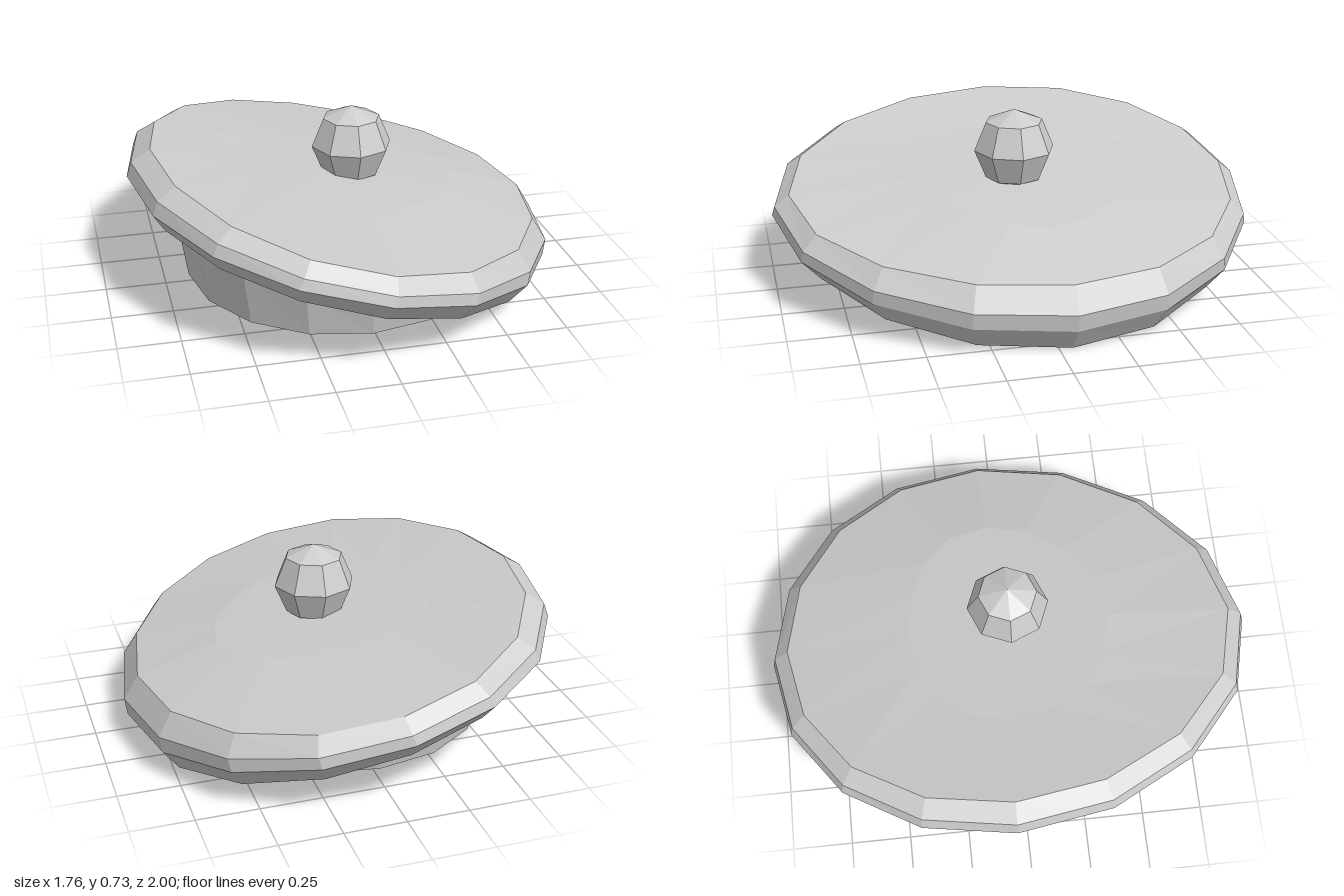
import * as THREE from 'three';

const SIDES = 16;
const material = new THREE.MeshStandardMaterial({ color: 0xcccccc, flatShading: true });

// A tilted oval ring: x and y run from the right end (x0, y0) to the left end (x1, y1),
// rz is the half depth, lift raises the front and back.
function ring(x0, y0, x1, y1, rz, lift = 0, skew = 1) {
  const points = [];
  for (let i = 0; i < SIDES; i++) {
    const a = (i / SIDES) * Math.PI * 2;
    const c = Math.cos(a), s = Math.sin(a);
    const t = (c + 1) / 2;
    points.push(new THREE.Vector3(
      x0 + (x1 - x0) * t - 0.025 * skew * s * s,
      y0 + (y1 - y0) * t + lift * s * s,
      rz * s - 0.055 * skew * c * c
    ));
  }
  return points;
}

// A ring collapsed to one point, to close a surface.
function tip(x, y, z) {
  return Array.from({ length: SIDES }, () => new THREE.Vector3(x, y, z));
}

// Skin a list of rings, in order from the top over the outside to the bottom.
function loft(rings) {
  const positions = [];
  const add = (p, q, r) => {
    if (p.equals(q) || q.equals(r) || r.equals(p)) return;
    for (const v of [p, q, r]) positions.push(v.x, v.y, v.z);
  };
  for (let k = 0; k < rings.length - 1; k++) {
    const a = rings[k], b = rings[k + 1];
    for (let i = 0; i < SIDES; i++) {
      const j = (i + 1) % SIDES;
      add(a[i], a[j], b[i]);
      add(a[j], b[j], b[i]);
    }
  }
  const geometry = new THREE.BufferGeometry();
  geometry.setAttribute('position', new THREE.Float32BufferAttribute(positions, 3));
  geometry.computeVertexNormals();
  return geometry;
}

function part(name, geometry) {
  const mesh = new THREE.Mesh(geometry, material);
  mesh.name = name;
  return mesh;
}

export function createModel() {
  const model = new THREE.Group();
  model.name = 'beret';

  // Floppy crown, tilted down to the left, with a rolled rim
  model.add(part('crown', loft([
    tip(0.04, 0.45, -0.05),
    ring(-0.42, 0.515, 0.49, 0.375, 0.42),
    ring(-0.78, 0.59, 0.82, 0.27, 0.93, -0.02),
    ring(-0.86, 0.54, 0.88, 0.17, 0.99, 0.005),
    ring(-0.88, 0.48, 0.87, 0.10, 1.0, 0.03),
    ring(-0.83, 0.40, 0.80, 0.0, 0.92, 0.035),
    ring(-0.69, 0.28, 0.66, 0.12, 0.69, 0, 0.3),
  ])));

  // Head band with a thin lower lip and a lining that narrows to a flat ceiling
  model.add(part('headBand', loft([
    ring(-0.69, 0.28, 0.66, 0.12, 0.69, 0, 0.3),
    ring(-0.65, 0.02, 0.63, 0.02, 0.65, 0, 0.3),
    ring(-0.62, 0.02, 0.60, 0.02, 0.62, 0, 0.3),
    ring(-0.47, 0.31, 0.45, 0.20, 0.46, 0, 0.3),
    tip(-0.01, 0.255, 0),
  ])));

  // Round bobble on top
  const bobble = part('bobble', new THREE.SphereGeometry(0.168, 8, 4));
  bobble.position.set(0.052, 0.56, 0);
  model.add(bobble);

  return model;
}
